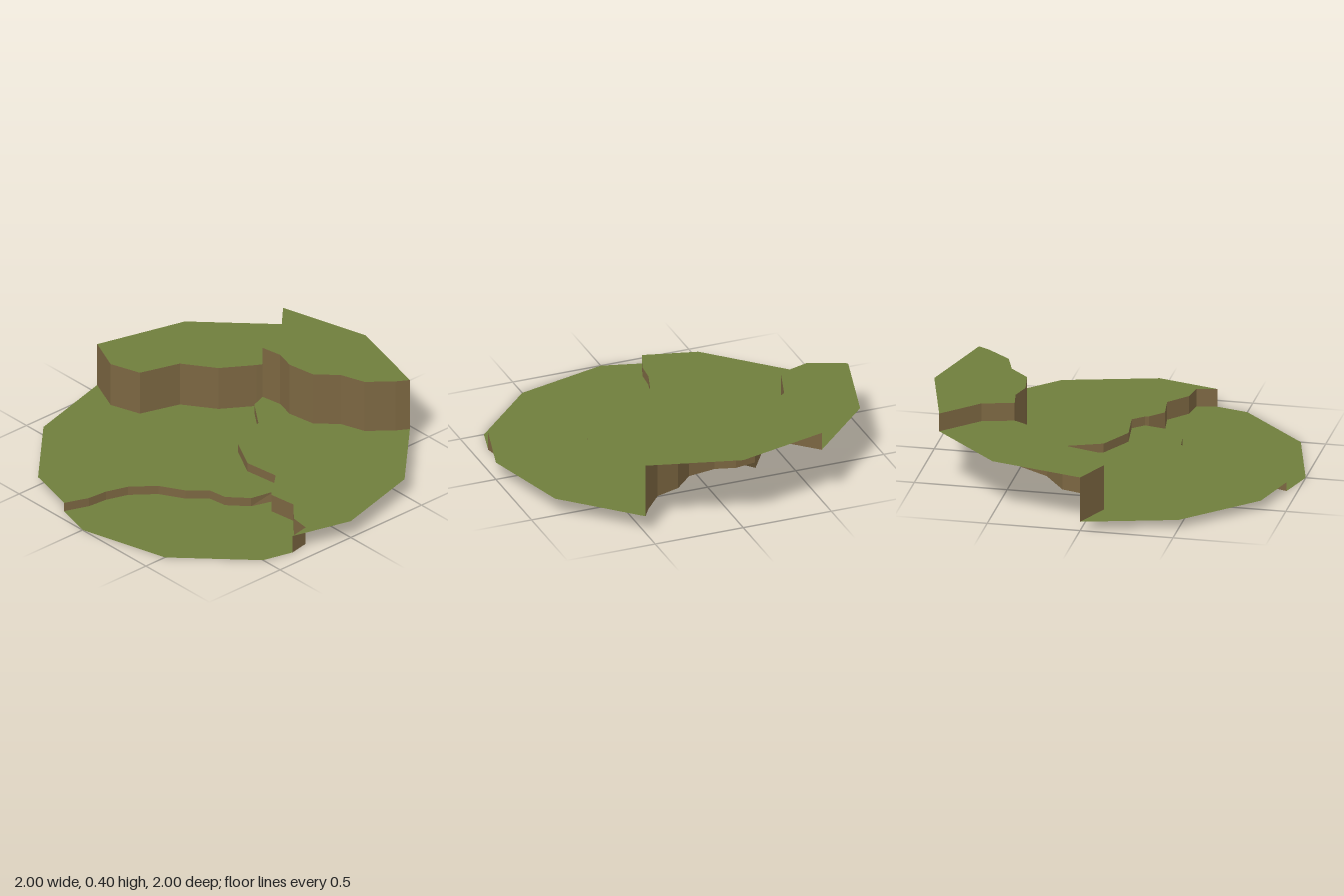
import * as THREE from 'three';

const grass = new THREE.MeshStandardMaterial({ color: 0x6f7e3c, side: THREE.DoubleSide });
grass.name = 'grass green';
const earth = new THREE.MeshStandardMaterial({ color: 0x7b6641, side: THREE.DoubleSide });
earth.name = 'earth brown';

// Corner k of the twelve-sided rim, as [x, z], counted from +x towards +z
const rim = (k) => [Math.cos(k * Math.PI / 6), Math.sin(k * Math.PI / 6)];

// Terrace heights
const BACK = 0.4, LEDGE = 0.3, MIDDLE = 0.1, LOW = 0.05, GROUND = 0;

// Corners where three terraces meet
const T = [-0.265, -0.51], P = [-0.28, -0.48], Q = [-0.235, -0.425];
const R = [0.44, 0.04], S = [0.447, 0.06], U = [0.41, 0.175];

// Fault lines between terraces, as [x, z]
const backToLedge = [rim(8), [-0.31, -0.68], T];
const backToMiddle = [T, [-0.15, -0.53], [-0.04, -0.5], [0.115, -0.525], [0.22, -0.63],
  [0.355, -0.675], [0.46, -0.8], rim(10)];
const ledgeToLow = [rim(6), [-0.8, 0.085], [-0.63, 0.03], [-0.56, -0.19], [-0.39, -0.31], P];
const middleToLow = [Q, [-0.08, -0.315], [0.01, -0.09], [0.19, 0.005], [0.385, -0.02], R];
const middleToGround = [S, [0.52, 0.13], [0.67, 0.11], [0.78, 0.205], [0.89, 0.22], [0.91, 0.33]];
const lowToGround = [U, [0.31, 0.27], [0.205, 0.285], [0.12, 0.38], [-0.01, 0.455],
  [-0.11, 0.58], [-0.15, 0.7], [-0.16, 0.81], [-0.21, 0.942]];

const back = (line) => [...line].reverse();

export function createModel() {
  const group = new THREE.Group();

  const add = (name, geometry, material) => {
    const mesh = new THREE.Mesh(geometry, material);
    mesh.name = name;
    group.add(mesh);
  };

  // Flat terrace top
  const terrace = (name, y, outline) => {
    const shape = new THREE.Shape(outline.map(([x, z]) => new THREE.Vector2(x, -z)));
    add(name, new THREE.ShapeGeometry(shape).rotateX(-Math.PI / 2).translate(0, y, 0), grass);
  };

  const faceted = (name, positions) => {
    const geometry = new THREE.BufferGeometry();
    geometry.setAttribute('position', new THREE.Float32BufferAttribute(positions, 3));
    geometry.computeVertexNormals();
    add(name, geometry, earth);
  };

  // Upright cliff along a fault line; its foot may rise at either end
  const cliff = (name, line, top, foot, startFoot = foot, endFoot = foot) => {
    const positions = [];
    const footAt = (i) => (i === 0 ? startFoot : i === line.length - 1 ? endFoot : foot);
    for (let i = 0; i < line.length - 1; i++) {
      const [ax, az] = line[i], [bx, bz] = line[i + 1];
      const a = [ax, footAt(i), az], b = [bx, footAt(i + 1), bz];
      const c = [bx, top, bz], d = [ax, top, az];
      positions.push(...a, ...b, ...c, ...a, ...c, ...d);
    }
    faceted(name, positions);
  };

  terrace('backTerrace', BACK, [...backToLedge, ...backToMiddle.slice(1), rim(9)]);
  terrace('ledgeTerrace', LEDGE, [...ledgeToLow, ...back(backToLedge), rim(7)]);
  terrace('lowTerrace', LOW, [...ledgeToLow, ...middleToLow, ...lowToGround, rim(4), rim(5)]);
  terrace('middleTerrace', MIDDLE,
    [...backToMiddle, rim(11), rim(0), ...back(middleToGround), ...back(middleToLow)]);
  terrace('groundTerrace', GROUND, [...middleToGround, rim(1), rim(2), rim(3), ...back(lowToGround)]);

  cliff('backLedgeCliff', back(backToLedge), BACK, LEDGE);
  cliff('backCliff', backToMiddle, BACK, MIDDLE);
  cliff('ledgeCliff', [...ledgeToLow, T], LEDGE, LOW, LOW, MIDDLE);
  cliff('middleStep', [T, ...middleToLow], MIDDLE, LOW, MIDDLE);
  cliff('middleGroundStep', [R, ...middleToGround], MIDDLE, GROUND, LOW);
  cliff('lowStep', back([R, ...lowToGround]), LOW, GROUND, GROUND, LOW);

  // Small slopes where three terraces meet
  const slope = (name, a, ya, b, yb, c, yc) =>
    faceted(name, [a[0], ya, a[1], b[0], yb, b[1], c[0], yc, c[1]]);
  slope('ledgeCornerSlope', T, MIDDLE, P, LOW, Q, LOW);
  slope('middleCornerSlope', R, LOW, U, GROUND, S, GROUND);

  return group;
}
